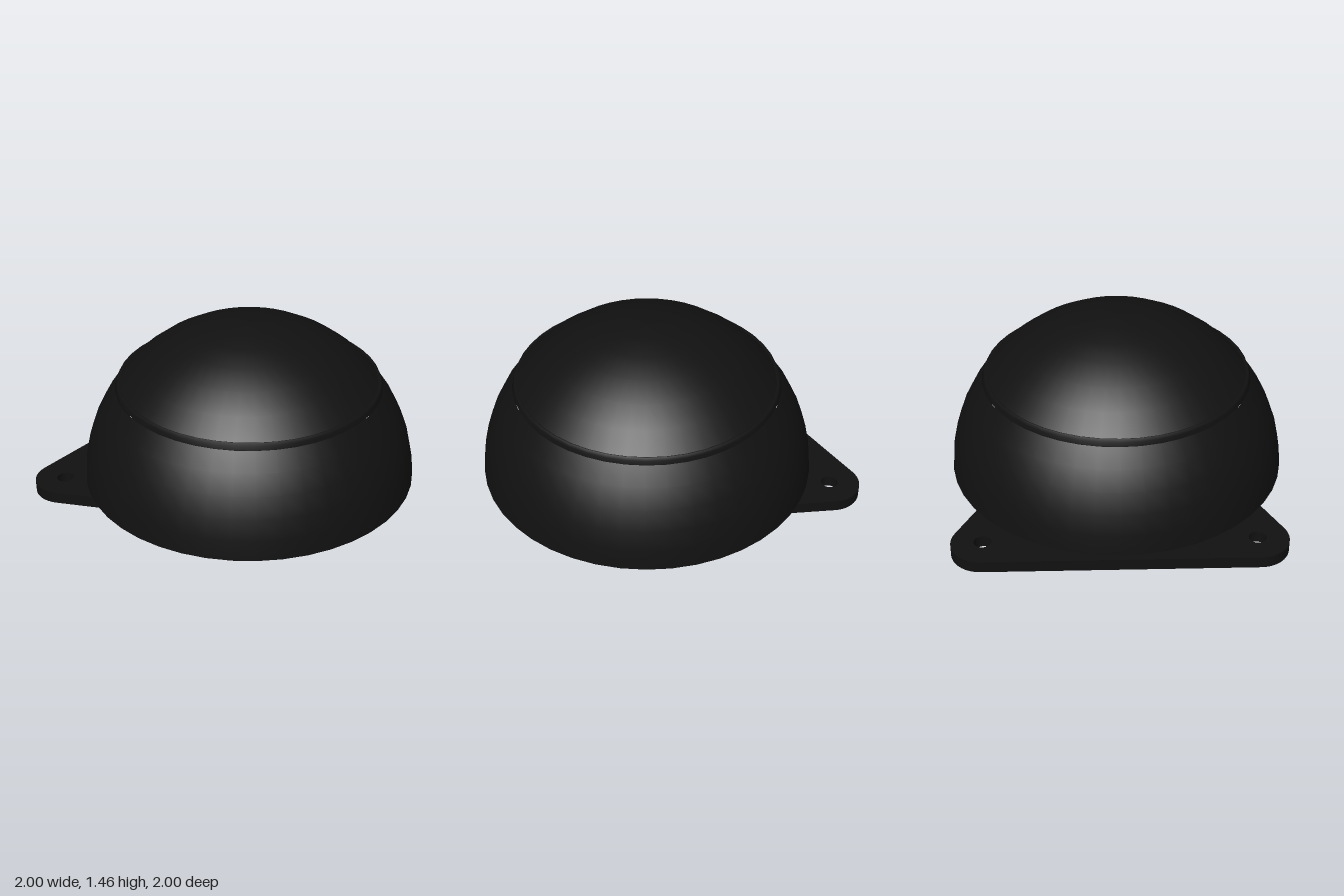
import * as THREE from 'three';

const SIDES = 44;
const black = new THREE.MeshStandardMaterial({ color: 0x111111 });
const blackDouble = new THREE.MeshStandardMaterial({ color: 0x111111, side: THREE.DoubleSide });

function add(group, name, geometry, y = 0, material = black) {
  const mesh = new THREE.Mesh(geometry, material);
  mesh.name = name;
  mesh.position.y = y;
  group.add(mesh);
  return mesh;
}

// Points on a unit circle centred at y = 0.46, angles in degrees above the horizon
function arcPoints(from, to, steps) {
  return Array.from({ length: steps + 1 }, (_, i) => {
    const a = THREE.MathUtils.degToRad(from + (to - from) * i / steps);
    return new THREE.Vector2(Math.max(0, Math.cos(a)), 0.46 + 0.995 * Math.sin(a));
  });
}

function circleHole(x, y, r) {
  return new THREE.Path().absarc(x, y, r, 0, Math.PI * 2, true);
}

// Bracket outline in plan: two rounded ears tapering to a slotted end
function bracketGeometry() {
  const s = new THREE.Shape();
  const tilt = 1.1; // direction of the tapered edge's normal
  s.moveTo(0.53, 0.13);
  s.lineTo(0.53, 0.21);
  s.quadraticCurveTo(0.53, 0.3, 0.43, 0.35);
  s.absarc(-0.82, 0.775, 0.18, tilt, Math.PI, false);
  s.absarc(-0.82, -0.775, 0.18, Math.PI, Math.PI * 2 - tilt, false);
  s.lineTo(0.43, -0.35);
  s.quadraticCurveTo(0.53, -0.3, 0.53, -0.21);
  s.lineTo(0.53, -0.13);
  s.quadraticCurveTo(0.53, -0.07, 0.47, -0.07);
  s.lineTo(0.2, -0.07);
  s.lineTo(0.2, 0.07);
  s.lineTo(0.47, 0.07);
  s.quadraticCurveTo(0.53, 0.07, 0.53, 0.13);

  // Screw holes in the ears, a small hole and a slot along the middle
  for (const side of [-1, 1]) s.holes.push(circleHole(-0.82, side * 0.775, 0.05));
  s.holes.push(circleHole(-0.81, 0, 0.035));
  const slot = new THREE.Path();
  slot.absarc(-0.54, 0, 0.035, Math.PI / 2, -Math.PI / 2, true);
  slot.absarc(-0.67, 0, 0.035, -Math.PI / 2, -Math.PI * 1.5, true);
  slot.closePath();
  s.holes.push(slot);

  const g = new THREE.ExtrudeGeometry(s, { depth: 0.07, bevelEnabled: false, curveSegments: 14 });
  return g.rotateX(-Math.PI / 2);
}

export function createModel() {
  const model = new THREE.Group();
  model.name = 'domeUnit';

  // Dome in two zones, with a fine raised ridge between them
  add(model, 'lowerDome', new THREE.LatheGeometry(arcPoints(1.7, 37.6, 5), SIDES), 0, blackDouble);
  add(model, 'domeCap', new THREE.LatheGeometry(arcPoints(40.2, 90, 6), SIDES), 0, blackDouble);
  const ridge = [[0.79, 1.067], [0.785, 1.09], [0.778, 1.108], [0.763, 1.102]];
  add(model, 'domeRidge', new THREE.LatheGeometry(
    ridge.map(([r, y]) => new THREE.Vector2(r, y)), SIDES), 0, blackDouble);

  // Flat underside of the dome and the recessed base disc
  add(model, 'domeUnderside', new THREE.CircleGeometry(1, SIDES).rotateX(Math.PI / 2), 0.49);
  add(model, 'baseDisc', new THREE.CylinderGeometry(0.96, 0.96, 0.03, SIDES), 0.475);

  // Mounting bracket and stem
  add(model, 'mountingBracket', bracketGeometry(), 0.39);
  add(model, 'stem', new THREE.CylinderGeometry(0.24, 0.24, 0.46, SIDES), 0.23);
  return model;
}
